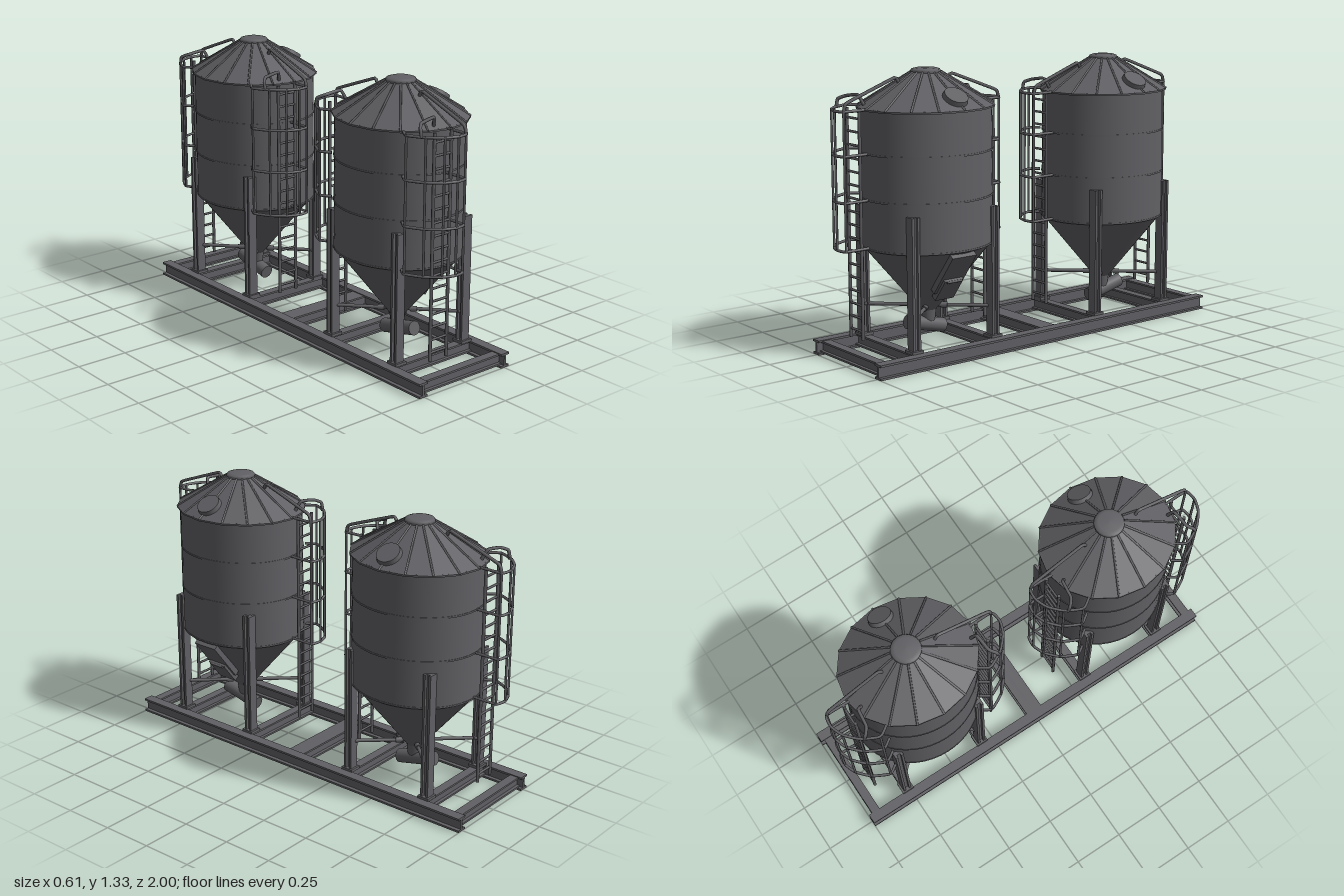
import * as THREE from 'three';

const steel = new THREE.MeshStandardMaterial({ color: 0x606064, side: THREE.DoubleSide });
steel.name = 'dark steel';
const V = (x, y, z) => new THREE.Vector3(x, y, z);

function add(parent, name, geo, x = 0, y = 0, z = 0) {
  const m = new THREE.Mesh(geo, steel);
  m.name = name;
  m.position.set(x, y, z);
  parent.add(m);
  return m;
}

// straight round bar between two points
function rod(parent, name, a, b, r, sides = 8) {
  const m = add(parent, name, new THREE.CylinderGeometry(r, r, a.distanceTo(b), sides));
  m.position.copy(a).lerp(b, 0.5);
  m.quaternion.setFromUnitVectors(V(0, 1, 0), b.clone().sub(a).normalize());
  return m;
}

// bent round bar through points
function bentBar(parent, name, pts, r) {
  const curve = new THREE.CatmullRomCurve3(pts, false, 'catmullrom', 0.25);
  return add(parent, name, new THREE.TubeGeometry(curve, 36, r, 6));
}

// I-section of width w and height h, extruded along z and centred
function iBeam(w, h, length, t, web) {
  const a = w / 2, b = h / 2, c = web / 2;
  const s = new THREE.Shape([[-a, -b], [a, -b], [a, t - b], [c, t - b], [c, b - t], [a, b - t],
    [a, b], [-a, b], [-a, b - t], [-c, b - t], [-c, t - b], [-a, t - b]].map(p => new THREE.Vector2(...p)));
  return new THREE.ExtrudeGeometry(s, { depth: length, bevelEnabled: false }).translate(0, 0, -length / 2);
}

function buildBase() {
  const g = new THREE.Group();
  g.name = 'baseFrame';
  for (const s of [-1, 1]) add(g, 'sideRail', iBeam(0.05, 0.07, 2, 0.01, 0.012), s * 0.255, 0.035, 0);
  for (const z of [-0.96, -0.765, -0.315, -0.022, 0.022, 0.315, 0.765, 0.96]) {
    const beam = iBeam(0.044, 0.058, 0.5, 0.009, 0.012).rotateY(Math.PI / 2);
    add(g, 'crossBeam', beam, 0, 0.037, z);
  }
  return g;
}

// shell of revolution, slightly deeper than wide
function buildShell() {
  const g = new THREE.Group();
  g.name = 'shell';
  g.scale.z = 1.1;
  // wall rings with seam beads
  const levels = [0.52, 0.745, 0.955, 1.155];
  for (let i = 0; i < 3; i++) {
    const h = levels[i + 1] - levels[i];
    add(g, 'wallRing', new THREE.CylinderGeometry(0.284, 0.287, h, 48, 1, true), 0, levels[i] + h / 2, 0);
  }
  for (const y of levels) add(g, 'seam', new THREE.CylinderGeometry(0.289, 0.289, 0.008, 48), 0, y, 0);
  // hopper cone and outlet collar
  add(g, 'hopper', new THREE.CylinderGeometry(0.283, 0.03, 0.33, 48, 1, true), 0, 0.355, 0);
  add(g, 'outletCollar', new THREE.CylinderGeometry(0.04, 0.028, 0.1, 20), 0, 0.18, 0);
  // sixteen-panel roof with ribs
  const roof = new THREE.CylinderGeometry(0.065, 0.3, 0.152, 16, 1, true).toNonIndexed();
  roof.computeVertexNormals();
  add(g, 'roof', roof, 0, 1.231, 0);
  add(g, 'eave', new THREE.CylinderGeometry(0.3, 0.3, 0.008, 16), 0, 1.153, 0);
  for (let i = 0; i < 16; i++) {
    const a = i * Math.PI / 8, s = Math.sin(a), c = Math.cos(a);
    rod(g, 'roofRib', V(s * 0.3, 1.156, c * 0.3), V(s * 0.065, 1.308, c * 0.065), 0.005, 5);
  }
  return g;
}

// caged ladder; s = +1 on the front of the silo, -1 on the back
function buildLadder(s) {
  const g = new THREE.Group();
  g.name = s > 0 ? 'frontLadder' : 'backLadder';
  const d = 0.35;
  for (const x of [-0.12, -0.02]) rod(g, 'stringer', V(x, 0.1, s * d), V(x, 1.16, s * d), 0.008);
  for (let y = 0.14; y < 1.15; y += 0.061) rod(g, 'rung', V(-0.12, y, s * d), V(-0.02, y, s * d), 0.006, 6);
  // safety cage
  const hoop = [[-0.015, 0.31], [-0.015, 0.435], [-0.07, 0.447], [-0.13, 0.425], [-0.19, 0.37], [-0.23, 0.29], [-0.2, 0.24]];
  for (const y of [0.525, 0.745, 0.955, 1.155])
    bentBar(g, 'cageHoop', hoop.map(([x, z]) => V(x, y, s * z)), 0.007);
  for (const [x, z] of hoop.slice(1, 6)) rod(g, 'cageBar', V(x, 0.52, s * z), V(x, 1.16, s * z), 0.006, 6);
  // grab rails over the roof
  bentBar(g, 'grabRail', [[1.15, 0.435], [1.185, 0.425], [1.2, 0.4], [1.285, 0.17], [1.285, 0.15], [1.25, 0.13]]
    .map(([y, z]) => V(-0.015, y, s * z)), 0.008);
  bentBar(g, 'sideGrabRail', [V(-0.2, 1.15, s * 0.355), V(-0.2, 1.19, s * 0.345), V(-0.17, 1.205, s * 0.32),
    V(-0.09, 1.215, s * 0.31), V(-0.07, 1.17, s * 0.29)], 0.008);
  return g;
}

// s = +1 for the front silo, -1 for the rear one
function buildSilo(s) {
  const g = new THREE.Group();
  g.name = s > 0 ? 'frontSilo' : 'rearSilo';
  g.position.z = s * 0.543;
  g.add(buildShell(), buildLadder(1), buildLadder(-1));
  // domed filler cap
  const cap = [[0, 1.327], [0.05, 1.325], [0.066, 1.32], [0.07, 1.312], [0.068, 1.3]].reverse();
  add(g, 'topCap', new THREE.LatheGeometry(cap.map(p => new THREE.Vector2(...p)), 24));
  // round roof hatch lying on the slope
  const hatch = add(g, 'roofHatch', new THREE.CylinderGeometry(0.056, 0.06, 0.022, 24), 0.228, 1.212, 0);
  hatch.rotation.z = -0.57;
  // legs with feet, and braces to the outlet
  for (const x of [-1, 1]) for (const z of [-1, 1]) {
    const lx = x * 0.205, lz = z * 0.224;
    add(g, 'leg', iBeam(0.046, 0.042, 0.62, 0.012, 0.02).rotateX(Math.PI / 2), lx, 0.38, lz);
    add(g, 'foot', new THREE.BoxGeometry(0.062, 0.014, 0.062), lx, 0.075, lz);
    rod(g, 'brace', V(lx, 0.217, lz), V(x * 0.025, 0.217, z * 0.027), 0.009);
    rod(g, 'braceSocket', V(lx * 0.3, 0.217, lz * 0.3), V(lx * 0.2, 0.217, lz * 0.2), 0.014);
  }
  // sloping discharge tube
  rod(g, 'dischargeTube', V(0, 0.153, s * 0.118), V(0, 0.105, s * -0.085), 0.034, 20);
  // inspection door on the front silo's hopper
  if (s > 0) {
    const door = new THREE.Group();
    door.name = 'hopperDoor';
    door.position.set(0.2, 0.41, 0);
    door.rotation.z = 0.913;
    add(door, 'doorFrame', new THREE.BoxGeometry(0.24, 0.028, 0.135), 0, -0.004, 0);
    add(door, 'doorPanel', new THREE.BoxGeometry(0.13, 0.03, 0.105), -0.092, -0.016, 0);
    rod(door, 'doorHandle', V(-0.03, -0.034, -0.04), V(-0.03, -0.034, 0.04), 0.006);
    g.add(door);
  }
  return g;
}

export function createModel() {
  const model = new THREE.Group();
  model.name = 'twinSilos';
  model.add(buildBase(), buildSilo(1), buildSilo(-1));
  return model;
}
